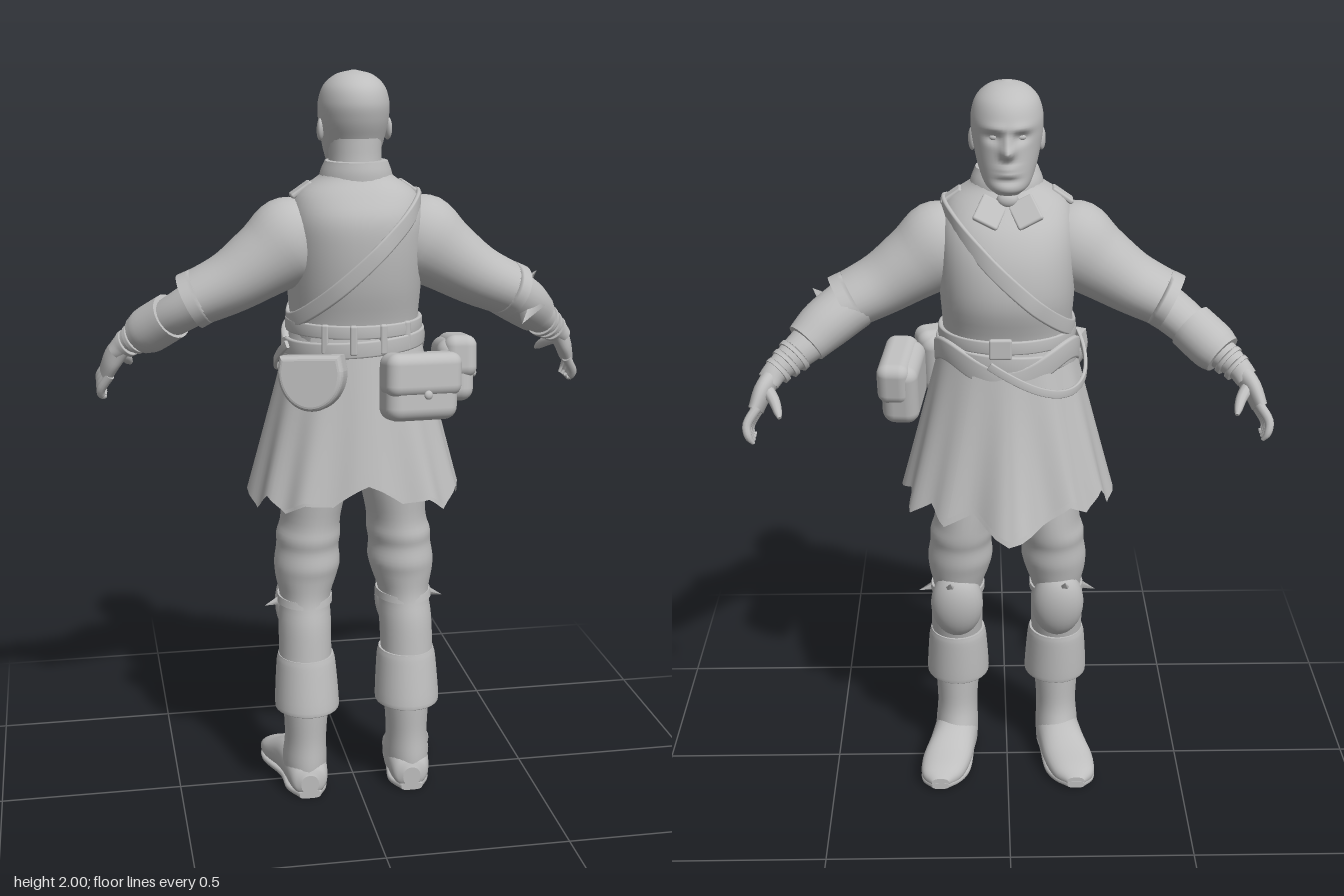
import * as THREE from 'three';
import { RoundedBoxGeometry } from 'three/addons/geometries/RoundedBoxGeometry.js';

const grey = new THREE.MeshStandardMaterial({ color: 0xbebebe, side: THREE.DoubleSide });
grey.name = 'plain grey';
const V = (a) => new THREE.Vector3(...a);
const gauss = (d, w) => Math.exp(-(d * d) / (w * w));
const bend = (v, power) => Math.sign(v) * Math.abs(v) ** power;

// Smooth tube through rows of [x, y, z, halfWidth, halfHeight]
function sweep(rows, { up = [0, 1, 0], dir, sides = 24, steps = 4, power = 1, deform } = {}) {
  const path = new THREE.CatmullRomCurve3(rows.map((r) => V(r)), false, 'catmullrom');
  const size = new THREE.CatmullRomCurve3(rows.map((r) => new THREE.Vector3(r[3], r[4], 0)), false, 'catmullrom');
  const n = (rows.length - 1) * steps, pos = [], idx = [];
  for (let i = 0; i <= n; i++) {
    const c = path.getPoint(i / n), r = size.getPoint(i / n);
    const t = dir ? V(dir) : path.getTangent(i / n);
    const u = typeof up === 'function' ? up(c) : V(up);
    const side = u.cross(t).normalize(), nor = t.clone().cross(side);
    for (let k = 0; k < sides; k++) {
      const a = (k / sides) * Math.PI * 2;
      const p = c.clone().addScaledVector(side, Math.max(r.x, 0.001) * bend(Math.cos(a), power))
        .addScaledVector(nor, Math.max(r.y, 0.001) * bend(Math.sin(a), power));
      if (deform) deform(p);
      pos.push(p.x, p.y, p.z);
      if (i < n) {
        const p0 = i * sides + k, p1 = i * sides + ((k + 1) % sides);
        idx.push(p0, p1, p1 + sides, p0, p1 + sides, p0 + sides);
      }
    }
  }
  // End caps on their own vertices, so the rims stay crisp
  for (const ring of [0, n]) {
    const base = pos.length / 3, c = path.getPoint(ring / n);
    pos.push(...pos.slice(ring * sides * 3, (ring + 1) * sides * 3), c.x, c.y, c.z);
    for (let k = 0; k < sides; k++) {
      const a = base + k, b = base + ((k + 1) % sides);
      idx.push(...(ring ? [a, b, base + sides] : [b, a, base + sides]));
    }
  }
  const g = new THREE.BufferGeometry();
  g.setAttribute('position', new THREE.Float32BufferAttribute(pos, 3));
  g.setIndex(idx);
  g.computeVertexNormals();
  return g;
}

// Torso profile: y, half width, centre z, half depth
const TORSO = [[1.26, 0.17, 0.015, 0.15], [1.35, 0.171, 0.014, 0.158], [1.45, 0.178, 0.012, 0.185], [1.55, 0.182, 0.022, 0.187],
  [1.63, 0.178, 0.037, 0.168], [1.69, 0.155, 0.047, 0.125], [1.73, 0.1, 0.047, 0.095], [1.75, 0.085, 0.045, 0.088]];
function torsoAt(y) {
  let i = 0;
  while (i < TORSO.length - 2 && TORSO[i + 1][0] < y) i++;
  const f = THREE.MathUtils.clamp((y - TORSO[i][0]) / (TORSO[i + 1][0] - TORSO[i][0]), 0, 1);
  return [1, 2, 3].map((k) => TORSO[i][k] + f * (TORSO[i + 1][k] - TORSO[i][k]));
}

// Strap hugging the torso; height(x, angle) gives its level
function strap(height, scale, w, thick, from = 0, to = Math.PI * 2) {
  const rows = [];
  for (let k = 0; k <= 32; k++) {
    const a = from + ((to - from) * k) / 32;
    let x = 0.18 * Math.cos(a), y, z;
    for (let j = 0; j < 6; j++) {
      y = height(x, a);
      const [rx, zc, rz] = torsoAt(y);
      x = rx * Math.cos(a) * scale;
      z = zc + rz * Math.sin(a) * scale;
    }
    rows.push([x, y, z, w, thick]);
  }
  return sweep(rows, { up: (p) => new THREE.Vector3(p.x, 0, p.z - 0.02), sides: 12, steps: 2, power: 0.4 });
}

// Flared cloth with a torn hem, heights listed round the body from +x to +z
const HEM = [0.89, 0.86, 0.9, 0.85, 0.89, 0.885, 0.94, 0.885, 0.89, 0.86, 0.9, 0.85, 0.88, 0.86, 0.92, 0.87, 0.9, 0.86, 0.82, 0.89, 0.85, 0.9, 0.86, 0.91];
function skirt(from, to, grow, lift) {
  const n = 96, m = 10, pos = [], idx = [];
  for (let j = 0; j <= m; j++) for (let i = 0; i <= n; i++) {
    const a = from + ((to - from) * i) / n, h = ((a / (Math.PI * 2)) * 24 + 24) % 24;
    const k = Math.floor(h), hem = HEM[k] + (HEM[(k + 1) % 24] - HEM[k]) * (h - k) + lift;
    const t = j / m, y = 1.32 + (hem - 1.32) * t, d = 1.32 - y;
    const f = grow * (1 + 0.03 * t * Math.cos(12 * a)), boxy = 1 - 0.2 * t;
    const depth = 0.157 + d * (Math.sin(a) < 0 ? 0.12 : 0.2);
    pos.push((0.175 + d * 0.25) * f * bend(Math.cos(a), boxy), y,
      0.012 * (1 - t) + depth * f * bend(Math.sin(a), boxy) - 0.045 * t * t * gauss(a - 4.68, 0.17));
    if (i < n && j < m) {
      const p = j * (n + 1) + i, q = p + n + 1;
      idx.push(p, p + 1, q, p + 1, q + 1, q);
    }
  }
  const g = new THREE.BufferGeometry();
  g.setAttribute('position', new THREE.Float32BufferAttribute(pos, 3));
  g.setIndex(idx);
  g.computeVertexNormals();
  return g;
}

export function createModel() {
  const model = new THREE.Group();
  const add = (name, geo, p = [0, 0, 0], rot = [0, 0, 0], s = [1, 1, 1], parent = model) => {
    const m = new THREE.Mesh(geo, grey);
    m.name = name;
    m.position.set(...p);
    m.rotation.set(...rot);
    m.scale.set(...s);
    parent.add(m);
  };
  const ball = new THREE.SphereGeometry(1, 24, 16);
  const upright = { up: [0, 0, 1], dir: [0, 1, 0] };

  // Head: y, half width, face z, back z; the face is pressed into the skull
  const skull = [[1.732, 0.03, -0.105, -0.05], [1.75, 0.056, -0.117, 0.02], [1.79, 0.074, -0.113, 0.08], [1.84, 0.086, -0.108, 0.108],
    [1.88, 0.092, -0.108, 0.124], [1.92, 0.092, -0.106, 0.13], [1.96, 0.079, -0.085, 0.115], [1.988, 0.048, -0.04, 0.075], [2, 0.004, 0.012, 0.02]];
  add('head', sweep(skull.map(([y, w, f, b]) => [0, y, (f + b) / 2, w, (b - f) / 2]), {
    ...upright, sides: 56, steps: 7,
    deform: (p) => {
      if (p.z > -0.03) return;
      const x = Math.abs(p.x);
      p.z += 0.014 * gauss(x - 0.034, 0.02) * gauss(p.y - 1.876, 0.014);
      p.z -= 0.008 * gauss(x - 0.03, 0.035) * gauss(p.y - 1.9, 0.012);
      p.z -= 0.036 * gauss(x, 0.015) * gauss(p.y - 1.842, 0.016) + 0.016 * gauss(x, 0.012) * gauss(p.y - 1.868, 0.018);
      p.z -= 0.009 * gauss(x, 0.026) * (gauss(p.y - 1.802, 0.007) + gauss(p.y - 1.786, 0.007));
      p.z += 0.007 * gauss(x, 0.03) * gauss(p.y - 1.77, 0.009);
    },
  }));
  add('neck', sweep([[0, 1.68, 0.045, 0.08, 0.085], [0, 1.76, 0.035, 0.07, 0.075], [0, 1.83, 0.03, 0.07, 0.075]], upright));
  for (const s of [-1, 1]) {
    add('ear', ball, [s * 0.089, 1.85, 0.022], [0.15, s * 0.25, 0], [0.01, 0.03, 0.018]);
    add('eye', ball, [s * 0.034, 1.876, -0.083], [0, 0, 0], [0.012, 0.008, 0.008]);
  }

  // Tunic, collar and scarf
  add('tunic', sweep(TORSO.map(([y, rx, zc, rz]) => [0, y, zc, rx, rz]), { ...upright, sides: 40, power: 0.9 }));
  add('collar', sweep([[0, 1.715, 0.045, 0.1, 0.1], [0, 1.745, 0.047, 0.093, 0.098], [0, 1.772, 0.052, 0.082, 0.088]], upright));
  for (const s of [-1, 1]) {
    add('lapel', new RoundedBoxGeometry(0.07, 0.08, 0.014, 3, 0.006), [s * 0.045, 1.685, -0.088], [0.72, s * 0.25, s * 0.4]);
    add('shoulderTab', new RoundedBoxGeometry(0.065, 0.014, 0.05, 3, 0.006), [s * 0.145, 1.698, 0.04], [0, 0, s * -0.6]);
  }
  add('scarfKnot', ball, [0, 1.71, -0.06], [0, 0, 0], [0.028, 0.022, 0.02]);

  // Belts, bandolier and hanging straps
  add('shoulderStrap', strap((x) => 1.52 + 0.95 * x, 1.035, 0.021, 0.006));
  add('upperBelt', strap(() => 1.34, 1.04, 0.018, 0.007));
  add('lowerBelt', strap((x) => 1.295 + 0.06 * x, 1.08, 0.022, 0.007));
  add('waistSash', strap((x, a) => 1.28 - 0.03 * Math.sin(a * 3), 1.08, 0.03, 0.012, Math.PI, Math.PI * 2));
  add('hangingStrap', strap((x, a) => 1.3 - 0.1 * Math.sin((a - 2.7) * 1.4), 1.25, 0.011, 0.005, 2.7, 2.7 + Math.PI / 1.4));
  add('beltBuckle', new RoundedBoxGeometry(0.06, 0.055, 0.016, 3, 0.006), [0.02, 1.34, -0.157]);
  for (const x of [-0.1, -0.03, 0.05, 0.12]) {
    add('beltLoop', new RoundedBoxGeometry(0.02, 0.08, 0.016, 2, 0.006), [x, 1.32, 0.184 - x * x * 3.2], [0, x * 3.5, 0]);
  }

  // Skirt with overlapping panels
  add('skirt', skirt(0, Math.PI * 2, 1, 0));
  add('backPanel', skirt(0.75, 1.5, 1.03, 0.01));
  add('backPanel', skirt(1.64, 2.4, 1.03, 0.01));
  add('frontPanel', skirt(4.1, 5.2, 1.02, 0.02));

  // Pouches with flap and stud
  const pouch = (name, p, rot, w) => {
    const g = new THREE.Group();
    g.name = name;
    g.position.set(...p);
    g.rotation.set(...rot);
    add('pouchBody', new RoundedBoxGeometry(w, 0.17, 0.1, 4, 0.035), [0, -0.003, 0], [0, 0, 0], [1, 1, 1], g);
    add('pouchFlap', new RoundedBoxGeometry(w + 0.012, 0.115, 0.09, 4, 0.03), [0, 0.034, 0.014], [0, 0, 0], [1, 1, 1], g);
    add('pouchStud', ball, [0, -0.016, 0.06], [0, 0, 0], [0.012, 0.012, 0.008], g);
    model.add(g);
  };
  pouch('backPouch', [0.14, 1.195, 0.195], [-0.1, 0.25, -0.03], 0.205);
  pouch('sidePouch', [0.278, 1.198, -0.005], [0, Math.PI / 2 - 0.12, -0.15], 0.2);
  // Half-round hip pouch
  const half = new THREE.Shape();
  half.moveTo(0.07, 0.06).lineTo(-0.07, 0.06).absellipse(0, 0.03, 0.075, 0.09, Math.PI, Math.PI * 2);
  add('roundPouch', new THREE.ExtrudeGeometry(half, { depth: 0.04, bevelSize: 0.013, bevelThickness: 0.018, bevelSegments: 4, curveSegments: 24 }),
    [-0.13, 1.21, 0.165], [-0.15, -0.4, 0]);

  for (const s of [-1, 1]) {
    const mir = (rows) => rows.map(([x, ...r]) => [s * x, ...r]);
    // Arm
    add('sleeve', sweep(mir([[0.11, 1.59, 0.045, 0.09, 0.09], [0.17, 1.565, 0.042, 0.11, 0.118], [0.24, 1.518, 0.04, 0.105, 0.1],
      [0.33, 1.46, 0.035, 0.098, 0.083], [0.43, 1.413, 0.02, 0.098, 0.073]]), { sides: 32 }));
    add('sleeveHem', sweep(mir([[0.405, 1.425, 0.024, 0.098, 0.075], [0.438, 1.408, 0.018, 0.1, 0.077]]), { sides: 32 }));
    add('forearm', sweep(mir([[0.38, 1.43, 0.02, 0.07, 0.06], [0.46, 1.375, -0.02, 0.064, 0.056], [0.53, 1.325, -0.07, 0.053, 0.048],
      [0.6, 1.277, -0.122, 0.034, 0.034], [0.625, 1.25, -0.14, 0.036, 0.028]])));
    if (s < 0) {
      add('wristCuff', sweep(mir([[0.485, 1.36, -0.035, 0.068, 0.064], [0.54, 1.318, -0.078, 0.068, 0.064], [0.565, 1.3, -0.097, 0.06, 0.055]])));
    } else {
      add('bracer', sweep(mir([[0.41, 1.415, 0.005, 0.08, 0.07], [0.48, 1.37, -0.035, 0.074, 0.068], [0.53, 1.33, -0.07, 0.062, 0.058]])));
      add('bracerFlap', new THREE.ConeGeometry(0.045, 0.11, 4), [0.475, 1.42, 0.0], [0.2, 0.3, -0.8], [1, 1, 0.3]);
      add('bracerFlap', new THREE.ConeGeometry(0.04, 0.1, 4), [0.47, 1.35, 0.055], [1.9, 0.2, 0.5], [1, 1, 0.3]);
    }
    for (const t of [0, 0.5, 1]) {
      const c = [0.555 + 0.04 * t, 1.307 - 0.03 * t, -0.088 - 0.03 * t], r = 0.049 - 0.01 * t;
      add('wristStrap', sweep(mir([[...c, r, r], [c[0] + 0.009, c[1] - 0.007, c[2] - 0.007, r, r]])));
    }
    // Hand
    add('palm', sweep(mir([[0.612, 1.265, -0.13, 0.03, 0.026], [0.638, 1.228, -0.157, 0.045, 0.025], [0.657, 1.185, -0.18, 0.044, 0.02]]), { up: [s, 0, 0] }));
    for (let i = 0; i < 4; i++) {
      add('finger', sweep(mir([[0.65, 1.203 - 0.008 * i, -0.206 + 0.021 * i, 0.013, 0.013],
        [0.675, 1.165 - 0.009 * i, -0.226 + 0.022 * i, 0.012, 0.012],
        [0.672, 1.135 - 0.006 * i, -0.238 + 0.022 * i, 0.01, 0.01], [0.66, 1.115, -0.236 + 0.022 * i, 0.005, 0.005]]), { up: [s, 0, 0], sides: 10 }));
    }
    add('thumb', sweep(mir([[0.63, 1.24, -0.16, 0.018, 0.018], [0.605, 1.218, -0.2, 0.015, 0.015],
      [0.593, 1.2, -0.232, 0.011, 0.011], [0.588, 1.19, -0.248, 0.005, 0.005]]), { up: [s, 0, 0], sides: 10 }));

    // Leg: baggy trousers gathered above the knee
    const down = { up: [0, 0, 1], dir: [0, -1, 0], sides: 28 };
    add('trouserLeg', sweep(mir([[0.095, 1.1, 0.005, 0.1, 0.12], [0.108, 0.92, 0.01, 0.095, 0.118], [0.12, 0.8, 0.005, 0.082, 0.113],
      [0.127, 0.75, 0.008, 0.088, 0.113], [0.13, 0.715, 0.01, 0.086, 0.106], [0.132, 0.67, 0.014, 0.091, 0.106], [0.136, 0.63, 0.016, 0.085, 0.098],
      [0.14, 0.57, 0.022, 0.07, 0.09], [0.143, 0.5, 0.038, 0.073, 0.088], [0.145, 0.4, 0.055, 0.073, 0.08]]), down));
    add('kneePad', ball, [s * 0.143, 0.53, -0.034], [-0.18, 0, 0], [0.074, 0.11, 0.058]);
    add('kneeStrap', sweep(mir([[0.14, 0.575, 0.017, 0.076, 0.093], [0.141, 0.555, 0.022, 0.077, 0.092]]), down));
    add('strapTail', new THREE.ConeGeometry(0.018, 0.06, 5), [s * 0.225, 0.552, 0.02], [0, 0, s * -1.9], [1, 1, 0.4]);
    add('kneePadTip', new THREE.ConeGeometry(0.02, 0.06, 5), [s * 0.16, 0.61, -0.088], [-0.8, 0, 0], [1, 1, 0.5]);
    // Boot
    add('bootShaft', sweep(mir([[0.145, 0.36, 0.055, 0.07, 0.08], [0.145, 0.25, 0.056, 0.063, 0.078], [0.146, 0.16, 0.054, 0.058, 0.076],
      [0.148, 0.09, 0.046, 0.062, 0.088], [0.148, 0.04, 0.04, 0.06, 0.092]]), down));
    add('bootCuff', sweep(mir([[0.143, 0.41, 0.052, 0.077, 0.086], [0.143, 0.38, 0.055, 0.083, 0.09], [0.143, 0.27, 0.068, 0.09, 0.098],
      [0.143, 0.258, 0.068, 0.085, 0.093]]), down));
    add('bootFoot', sweep(mir([[0.146, 0.042, 0.138, 0.025, 0.028], [0.146, 0.052, 0.118, 0.052, 0.047], [0.15, 0.066, 0.04, 0.063, 0.061],
      [0.16, 0.063, -0.03, 0.066, 0.058], [0.178, 0.046, -0.1, 0.07, 0.041], [0.19, 0.035, -0.16, 0.058, 0.03],
      [0.195, 0.03, -0.195, 0.025, 0.014]]), { dir: [0, 0, -1], sides: 28, power: 0.9 }));
    add('bootSole', sweep(mir([[0.146, 0.012, 0.138, 0.03, 0.011], [0.148, 0.012, 0.08, 0.058, 0.012], [0.155, 0.014, 0, 0.057, 0.012],
      [0.178, 0.014, -0.1, 0.07, 0.012], [0.19, 0.017, -0.16, 0.057, 0.011], [0.195, 0.02, -0.196, 0.024, 0.01]]), { dir: [0, 0, -1], power: 0.6 }));
  }
  return model;
}
